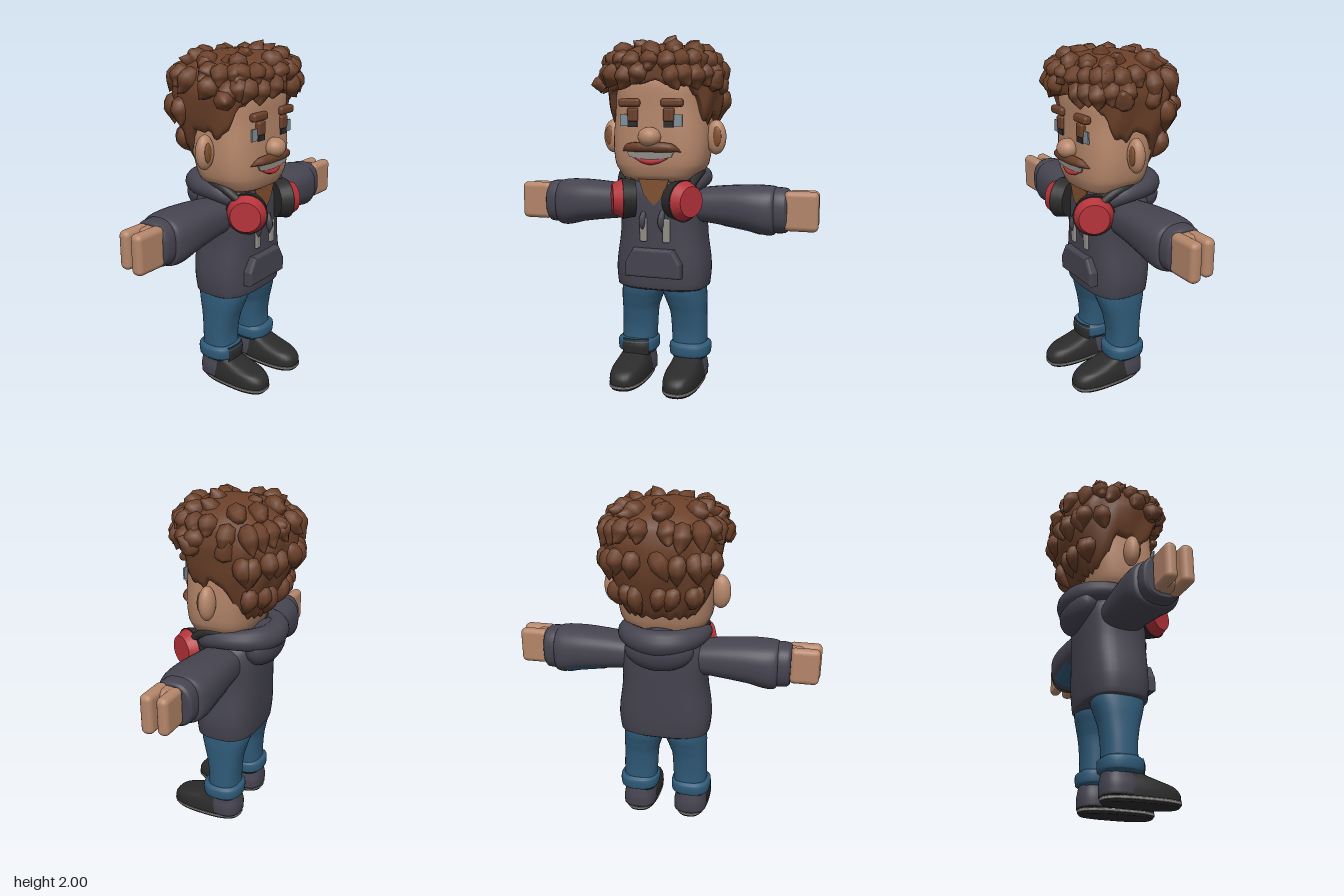
import * as THREE from 'three';
import { mergeVertices, mergeGeometries } from 'three/addons/utils/BufferGeometryUtils.js';
import { RoundedBoxGeometry } from 'three/addons/geometries/RoundedBoxGeometry.js';

const V = (x, y, z) => new THREE.Vector3(x, y, z);
const TAU = Math.PI * 2;

// Linear lookup in rows whose first value is the key
function lookup(rows, t) {
  let i = 0;
  while (i < rows.length - 2 && t > rows[i + 1][0]) i++;
  const k = THREE.MathUtils.clamp((t - rows[i][0]) / (rows[i + 1][0] - rows[i][0]), 0, 1);
  return rows[i].map((v, c) => v + (rows[i + 1][c] - v) * k);
}

function smooth(geo) {
  geo.deleteAttribute('uv');
  geo.deleteAttribute('normal');
  const g = mergeVertices(geo, 1e-5);
  g.computeVertexNormals();
  return g;
}

// Surface from rows (upwards) and columns (from +x towards +z)
function grid(nr, nc, fn) {
  const pos = [], idx = [];
  for (let i = 0; i <= nr; i++) for (let j = 0; j <= nc; j++) pos.push(...fn(i, j));
  for (let i = 0; i < nr; i++) for (let j = 0; j < nc; j++) {
    const a = i * (nc + 1) + j, b = a + nc + 1;
    idx.push(a, b, a + 1, b, b + 1, a + 1);
  }
  const g = new THREE.BufferGeometry();
  g.setAttribute('position', new THREE.Float32BufferAttribute(pos, 3));
  g.setIndex(idx);
  return smooth(g);
}

const se = (v, p) => Math.sign(v) * Math.pow(Math.abs(v), 2 / p);

// Cubic through b and c with neighbours a and d
const cubic = (a, b, c, d, t) =>
  b + 0.5 * t * (c - a + t * (2 * a - 5 * b + 4 * c - d + t * (3 * (b - c) + d - a)));

// Capped loft of rounded sections [y, centreX, radiusX, centreZ, radiusZ]
function loft(rows, { p = 2.5, n = 36, a0 = 0, a1 = TAU, cap = true } = {}) {
  const fine = [];
  for (let i = 0; i < rows.length - 1; i++) {
    const r = rows[i], q = rows[i + 1], o = rows[i - 1] ?? r, s = rows[i + 2] ?? q;
    for (let t = 0; t < 1; t += 0.25)
      fine.push(r.map((v, c) => (c === 0 ? v + (q[0] - v) * t : cubic(o[c], v, q[c], s[c], t))));
  }
  fine.push(rows.at(-1));
  if (cap) {
    const shut = r => [r[0], r[1], 0, r[3], 0];
    fine.unshift(shut(fine[0]));
    fine.push(shut(fine.at(-1)));
  }
  return grid(fine.length - 1, n, (i, j) => {
    const [y, cx, rx, cz, rz] = fine[i], a = a0 + (a1 - a0) * j / n;
    return [cx + rx * se(Math.cos(a), p), y, cz + rz * se(Math.sin(a), p)];
  });
}

// Tube through points whose thickness follows a list of radii
function tube(points, radii, seg = 12, sides = 8) {
  const curve = new THREE.CatmullRomCurve3(points.map(q => V(...q)));
  const g = new THREE.TubeGeometry(curve, seg, 1, sides), pos = g.attributes.position, v = V(0, 0, 0);
  const table = radii.map((r, i) => [i / (radii.length - 1), r]);
  for (let i = 0; i < pos.count; i++) {
    const u = Math.floor(i / (sides + 1)) / seg, c = curve.getPointAt(u);
    v.fromBufferAttribute(pos, i).sub(c).multiplyScalar(lookup(table, u)[1]).add(c);
    pos.setXYZ(i, v.x, v.y, v.z);
  }
  return smooth(g);
}

function mirrored(geo) {
  const g = geo.clone().scale(-1, 1, 1);
  if (!g.index) g.setIndex([...Array(g.attributes.position.count).keys()]);
  const ix = g.index.array;
  for (let i = 0; i < ix.length; i += 3) [ix[i], ix[i + 1]] = [ix[i + 1], ix[i]];
  return g;
}

const box = (w, h, d, x, y, z, r = 0) =>
  (r ? new RoundedBoxGeometry(w, h, d, 3, r) : new THREE.BoxGeometry(w, h, d)).translate(x, y, z);
const ball = (rx, ry, rz, x, y, z) => new THREE.SphereGeometry(1, 24, 16).scale(rx, ry, rz).translate(x, y, z);
const plate = (pts, depth, z, bevel = 0) => new THREE.ExtrudeGeometry(
  new THREE.Shape(pts.map(q => new THREE.Vector2(...q))),
  { depth, bevelEnabled: bevel > 0, bevelSize: bevel, bevelThickness: bevel, bevelSegments: 3 }).translate(0, 0, z);

// Hair outline [y, half width, front z, back z] and hairline [degrees from front, y]
const HAIR = [[1.32, .2, .1, -.19], [1.45, .27, .2, -.25], [1.6, .307, .26, -.3], [1.75, .325, .285, -.315],
  [1.85, .3, .285, -.285], [1.91, .24, .24, -.21], [1.95, .13, .16, -.1], [1.96, 0, .04, .04]];
const LINE = [[0, 1.74], [35, 1.72], [50, 1.66], [58, 1.55], [75, 1.51], [82, 1.56], [95, 1.54], [105, 1.4], [125, 1.34], [180, 1.33]];
function hairPoint(a, y, out = 0) {
  const [, hx, zf, zb] = lookup(HAIR, y), w = 1 + .02 * Math.sin(9 * a + 14 * y);
  const p = V(w * hx * se(Math.cos(a), 2.7), y, (zf + zb) / 2 + w * (zf - zb) / 2 * se(Math.sin(a), 2.7));
  return p.add(p.clone().sub(V(0, 1.66, 0)).normalize().multiplyScalar(out));
}

function hairCap() {
  const rows = 18, cols = 96;
  return grid(rows + 1, cols, (i, j) => {
    const a = TAU * j / cols, deg = Math.abs(THREE.MathUtils.euclideanModulo(a * 360 / TAU + 90, 360) - 180);
    const low = lookup(LINE, deg)[1] + .012 * Math.sin(a * 22), t = Math.max(0, i - 1) / rows;
    const p = hairPoint(a, low + (1.96 - low) * Math.sin(t * Math.PI / 2));
    return i === 0 ? [p.x * .8, p.y + .01, p.z * .8] : p.toArray();
  });
}

function hairTufts() {
  let seed = 7;
  const rnd = () => (seed = (seed * 16807) % 2147483647) / 2147483647;
  const list = [];
  // [count, root height, drop, tip lift, width, start angle, end angle]
  for (const [n, y, drop, lift, w, s, e] of [
    [11, 1.83, .13, .035, .052, .1, 3.05], [13, 1.89, .1, .045, .05, -.1, 3.2], [9, 1.93, .06, .05, .05, 0, TAU],
    [10, 1.87, .13, .035, .05, 3.2, 6.2], [9, 1.72, .16, .025, .05, 3.4, 6.0], [7, 1.52, .16, .005, .045, 3.7, 5.7]])
    for (let k = 0; k < n; k++) {
      const a = s + (e - s) * (k + .3 + .4 * rnd()) / n, turn = (rnd() - .5) * .35, d = drop * (.8 + .4 * rnd());
      const path = [hairPoint(a, y, -.05), hairPoint(a + turn * .3, y - d * .3),
        hairPoint(a + turn * .7, y - d * .7, .008), hairPoint(a + turn, y - d, lift * (.6 + .6 * rnd()))];
      list.push(tube(path.map(q => q.toArray()), [0, w, w * 1.1, w * .7, 0], 10, 7));
    }
  // Locks standing up on the crown and at the temples
  for (const [x, y, z, dx, dy, dz] of [[.04, 1.91, .08, .06, .09, .03], [-.06, 1.9, .1, -.07, .07, .07], [.14, 1.88, .05, .09, .09, .05],
    [-.16, 1.86, .08, -.06, .09, .06], [.29, 1.72, .1, .09, .08, .06], [.28, 1.7, -.06, .06, .1, -.06], [0, 1.89, -.08, .03, .07, -.08],
    [.08, 1.81, -.25, .04, .05, -.09], [-.12, 1.8, -.25, -.05, .04, -.08], [-.28, 1.74, .14, -.085, -.01, .08]])
    list.push(tube([[x, y - .04, z], [x + dx * .4, y + dy * .4, z + dz * .3], [x + dx, y + dy, z + dz]], [0, .06, .045, 0], 10, 7));
  return mergeGeometries(list);
}

export function createModel() {
  const root = new THREE.Group();
  const mat = (name, color, side = THREE.FrontSide) => Object.assign(new THREE.MeshStandardMaterial({ color, side }), { name });
  const skin = mat('skin', 0xb5866a), hair = mat('hair brown', 0x6b4029), cloth = mat('charcoal cloth', 0x454450);
  const denim = mat('denim', 0x2f5a78, THREE.DoubleSide), black = mat('black', 0x2b2b2c, THREE.DoubleSide);
  const red = mat('red', 0xb5333a), grey = mat('warm grey', 0x918d88), blue = mat('eye blue grey', 0x83919b);
  const shade = mat('deep skin', 0x81502f);
  const add = (name, geo, m) => {
    const mesh = new THREE.Mesh(geo, m);
    mesh.name = name;
    root.add(mesh);
  };
  const pair = (name, geo, m) => { add('left' + name, geo, m); add('right' + name, mirrored(geo), m); };

  // Head and face
  add('head', loft([[1.19, 0, .15, .06, .11], [1.215, 0, .215, .05, .17], [1.29, 0, .262, .045, .2], [1.42, 0, .276, .03, .22],
    [1.6, 0, .268, 0, .245], [1.75, 0, .265, -.005, .245], [1.86, 0, .2, -.01, .19]], { p: 2.9, n: 48 }), skin);
  add('neck', loft([[1.02, 0, .14, .02, .14], [1.15, 0, .14, .02, .14], [1.26, 0, .15, .01, .15]]), shade);
  pair('Ear', ball(.058, .097, .045, .312, 1.44, .028), skin);
  pair('EarHollow', ball(.026, .055, .012, .325, 1.445, .064), shade);
  add('nose', ball(.064, .055, .06, 0, 1.445, .268), skin);
  pair('Eyebrow', box(.125, .045, .045, .123, 1.63, .246, .016), hair);
  pair('EyeWhite', box(.055, .065, .009, .152, 1.535, .242), blue);
  pair('Eyelid', box(.062, .075, .035, .104, 1.565, .243, .012), hair);
  pair('Pupil', box(.056, .032, .009, .104, 1.514, .249), black);
  add('moustache', tube([[-.172, 1.362, .225], [-.13, 1.385, .257], [0, 1.39, .275], [.13, 1.385, .257], [.172, 1.362, .225]],
    [0, .024, .028, .026, .028, .024, 0], 24, 10), hair);
  add('teeth', plate([[-.14, 1.37], [-.12, 1.335], [-.05, 1.322], [.05, 1.322], [.12, 1.335], [.14, 1.37]], .009, .25), grey);
  add('lowerLip', tube([[-.1, 1.328, .245], [0, 1.308, .256], [.1, 1.328, .245]], [0, .013, .016, .013, 0], 16, 8), red);
  add('hairCap', hairCap(), hair);
  add('hairTufts', hairTufts(), hair);

  // Hoodie
  add('hoodieBody', loft([[.565, 0, .245, .015, .155], [.58, 0, .268, .015, .178], [.7, 0, .276, .012, .187], [.9, 0, .25, .008, .19],
    [1.05, 0, .25, .006, .192], [1.14, 0, .225, .005, .185], [1.22, 0, .15, 0, .15]], { p: 2.9, n: 48 }), cloth);
  add('pouch', plate([[-.15, .665], [.15, .665], [.15, .73], [.11, .8], [-.11, .8], [-.15, .73]], .035, .185, .015), cloth);
  add('hoodRim', tube([[-.07, 1.03, .17], [-.15, 1.12, .15], [-.215, 1.19, .06], [-.2, 1.205, -.1], [-.11, 1.2, -.2], [0, 1.195, -.225],
    [.11, 1.2, -.2], [.2, 1.205, -.1], [.215, 1.19, .06], [.15, 1.12, .15], [.07, 1.03, .17]],
  [0, .035, .05, .055, .068, .075, .068, .055, .05, .035, 0], 60, 14), cloth);
  add('hoodBag', ball(.2, .125, .1, 0, 1.14, -.175), cloth);
  add('neckOpening', plate([[-.09, 1.21], [-.06, 1.12], [0, 1.06], [.06, 1.12], [.09, 1.21]], .008, .195), shade);
  for (const [s, x, top, tipX] of [['right', -.062, 1.02, -.062], ['left', .05, 1.03, .075]]) {
    add(s + 'Drawstring', tube([[x, top, .19], [x - .005, .97, .21], [x, .91, .205]], [.014, .02, .018, 0], 10, 8), cloth);
    add(s + 'StringTip', box(.042, .135, .018, tipX, .92, .203, .008), grey);
  }
  const arm = [[.14, -1.05, .09, .005, .12], [.25, -1.055, .1, .005, .13], [.36, -1.055, .112, .005, .138], [.5, -1.05, .126, .008, .148],
    [.6, -1.038, .138, .008, .146], [.65, -1.036, .134, .008, .132], [.668, -1.038, .11, .01, .1]];
  pair('Sleeve', loft(arm).rotateZ(-Math.PI / 2), cloth);
  pair('SleeveCuff', loft([[.64, -1.04, .115, .01, .1], [.655, -1.04, .127, .01, .114], [.715, -1.04, .124, .01, .11], [.73, -1.04, .112, .01, .095]])
    .rotateZ(-Math.PI / 2), cloth);
  add('sleevePatch', loft([.36, .44, .52, .58].map(x => lookup(arm, x).map((v, i) => (i === 2 || i === 4 ? v + .004 : v))),
    { a0: -1, a1: .4, n: 12, cap: false }).rotateZ(-Math.PI / 2), denim);

  // Hands: palm with two rounded finger lobes
  pair('Palm', box(.12, .2, .14, .75, 1.045, .025, .04), skin);
  pair('FrontFingers', box(.19, .22, .07, .802, 1.045, .066, .03), skin);
  pair('BackFingers', box(.17, .21, .066, .805, 1.048, -.022, .03), skin);

  // Headphones round the neck
  const place = (g, x) => g.rotateZ(-Math.PI / 2).translate(x, 0, 0).rotateY(-.5).translate(.165, 1.095, .205);
  pair('EarCup', place(new THREE.CylinderGeometry(.085, .112, .055, 24), .052), red);
  pair('EarPad', place(new THREE.CylinderGeometry(.118, .105, .075, 24), -.012), black);
  add('headband', tube([[-.2, 1.16, .19], [-.225, 1.225, .1], [-.215, 1.24, -.02], [-.13, 1.23, -.14], [0, 1.22, -.18],
    [.13, 1.23, -.14], [.215, 1.24, -.02], [.225, 1.225, .1], [.2, 1.16, .19]], [.024, .026, .026, .024], 40, 8), black);

  // Jeans
  pair('TrouserLeg', loft([[.15, .16, .1, .01, .1], [.3, .156, .103, .005, .094], [.42, .15, .105, .008, .11],
    [.5, .136, .118, .01, .132], [.55, .125, .125, .01, .145], [.6, .12, .125, .01, .145]]), denim);
  pair('TrouserCuff', loft([[.155, .163, .1, .01, .1], [.168, .163, .117, .01, .118], [.225, .163, .119, .01, .12], [.242, .162, .1, .01, .1]]), denim);
  add('cuffPatch', loft([[.15, -.163, .12, .01, .121], [.2, -.163, .123, .01, .125], [.242, -.163, .115, .01, .115]],
    { a0: .75, a1: 2.05, n: 12, cap: false }), black);

  // Shoes
  const shoe = [[.028, .162, .1, .125, .224], [.07, .162, .1, .123, .222], [.105, .162, .094, .11, .2], [.13, .162, .086, .07, .155],
    [.155, .162, .082, .03, .11], [.175, .162, .08, .015, .09]];
  pair('Shoe', loft(shoe, { p: 2.6 }), black);
  pair('SoleEdge', loft([[.014, .162, .101, .125, .226], [.03, .162, .102, .125, .227]], { p: 2.6 }), grey);
  pair('Sole', loft([[0, .162, .092, .125, .215], [.015, .162, .1, .125, .224]], { p: 2.6 }), black);
  pair('Heel', loft([[.035, .162, .1, 0, .103], [.09, .162, .1, 0, .104], [.14, .162, .09, 0, .096], [.2, .162, .085, .005, .09]]), cloth);
  return root;
}
